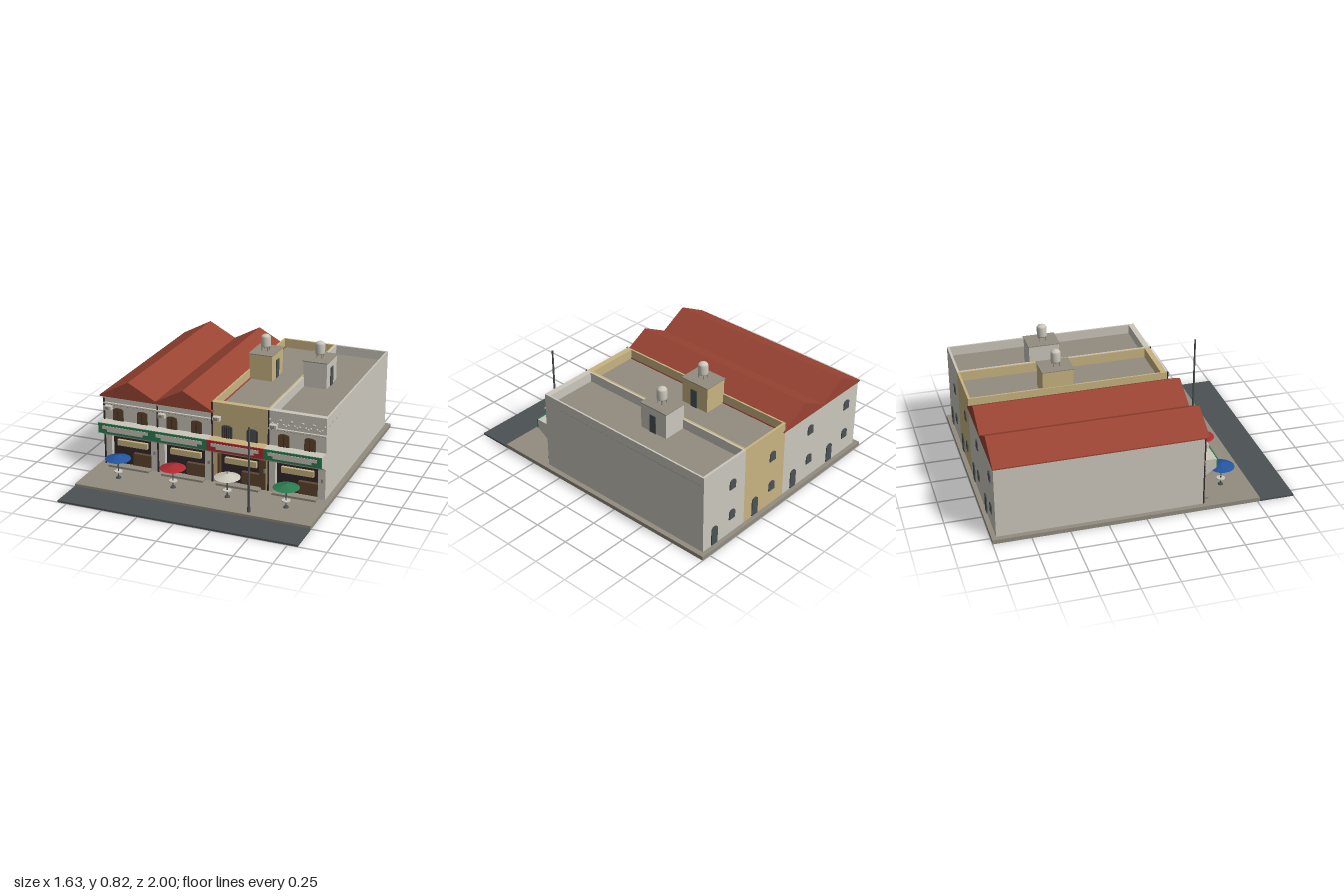
import * as THREE from 'three';

const mat = (name, color, opt = {}) => {
  const m = new THREE.MeshStandardMaterial({ color, ...opt });
  m.name = name;
  return m;
};
const M = {
  white: mat('plaster white', 0xcbc7bc),
  tan: mat('plaster tan', 0xc8b481),
  roof: mat('roof tile', 0x9a4433),
  green: mat('green paint', 0x2a7d50),
  red: mat('red paint', 0xb02a30),
  blue: mat('blue cloth', 0x2355a0),
  stone: mat('paving stone', 0x928c80),
  slate: mat('slate grey', 0x4c5254),
  brown: mat('brown wood', 0x5f452f),
  dark: mat('dark interior', 0x33292b),
};

function add(parent, name, geo, material, x = 0, y = 0, z = 0) {
  const mesh = new THREE.Mesh(geo, material);
  mesh.name = name;
  mesh.position.set(x, y, z);
  parent.add(mesh);
  return mesh;
}

// box given by its limits on each axis
function box(parent, name, material, x0, x1, y0, y1, z0, z1) {
  return add(parent, name, new THREE.BoxGeometry(x1 - x0, y1 - y0, z1 - z0), material,
    (x0 + x1) / 2, (y0 + y1) / 2, (z0 + z1) / 2);
}

const cyl = (parent, name, material, r0, r1, y0, y1, x, z, n = 16) =>
  add(parent, name, new THREE.CylinderGeometry(r1, r0, y1 - y0, n), material, x, (y0 + y1) / 2, z);

const extrude = (shape, depth) =>
  new THREE.ExtrudeGeometry(shape, { depth, bevelEnabled: false, curveSegments: 8 });

// upright plate with a curved top, standing at y
function archPlate(parent, name, material, x, y, z, w, h, rise) {
  const s = new THREE.Shape();
  s.moveTo(-w / 2, 0);
  s.lineTo(w / 2, 0);
  s.lineTo(w / 2, h - rise);
  s.absellipse(0, h - rise, w / 2, rise, 0, Math.PI, false);
  s.closePath();
  return add(parent, name, extrude(s, 0.008), material, x, y, z);
}

const FRONT = 0.385, BACK = -0.97, GROUND = 0.028, HALF = 0.195;

// front wall with the shop opening cut out
function frontWall(g, wall, top) {
  const s = new THREE.Shape();
  s.moveTo(-HALF, GROUND);
  s.lineTo(-0.145, GROUND);
  s.lineTo(-0.145, 0.235);
  s.lineTo(0.145, 0.235);
  s.lineTo(0.145, GROUND);
  s.lineTo(HALF, GROUND);
  s.lineTo(HALF, top);
  s.lineTo(-HALF, top);
  s.closePath();
  add(g, 'frontWall', extrude(s, FRONT - 0.345), wall, 0, 0, 0.345);
}

function shopFront(g, wall, paint) {
  box(g, 'shopInterior', M.dark, -0.145, 0.145, GROUND, 0.235, 0.34, 0.352);
  box(g, 'innerSign', M.tan, -0.11, 0.11, 0.165, 0.205, 0.352, 0.375);
  box(g, 'counter', M.brown, 0.01, 0.145, GROUND, 0.125, 0.352, 0.38);
  box(g, 'step', M.stone, -0.15, 0.15, GROUND, 0.042, FRONT, 0.44);
  box(g, 'meterBox', M.stone, 0.168, 0.184, 0.15, 0.176, FRONT, 0.398);
  // canopy with a sloping underside
  const s = new THREE.Shape();
  s.moveTo(FRONT, 0.235);
  s.lineTo(0.468, 0.287);
  s.lineTo(0.468, 0.352);
  s.lineTo(FRONT, 0.352);
  s.closePath();
  add(g, 'canopy', extrude(s, 2 * HALF), wall, HALF, 0, 0).rotation.y = -Math.PI / 2;
  box(g, 'signBoard', paint, -HALF, HALF, 0.285, 0.355, 0.468, 0.476);
  box(g, 'signPanelUpper', M.white, -0.165, 0.165, 0.317, 0.34, 0.476, 0.479);
  box(g, 'signPanelLower', M.white, -0.13, 0.13, 0.3, 0.317, 0.476, 0.479);
}

function upperFloor(g, spec) {
  for (const x of [-0.088, 0.088]) {
    archPlate(g, 'upperWindow', spec.glazed ? M.slate : M.brown, x, 0.345, FRONT, 0.075, 0.095, 0.015);
    const bars = spec.glazed ? (x < 0 ? [-0.03, -0.015, 0, 0.015, 0.03] : [-0.033, 0.033]) : [0];
    for (const b of bars)
      box(g, 'windowBar', M.dark, x + b - 0.002, x + b + 0.002, 0.35, 0.43, FRONT + 0.008, FRONT + 0.012);
  }
  // air conditioner
  const y = spec.acY;
  box(g, 'airConditioner', M.white, -0.178, -0.13, y, y + 0.028, FRONT, 0.418);
  box(g, 'airConditionerGrille', M.stone, -0.172, -0.145, y + 0.005, y + 0.023, 0.418, 0.421);
  if (!spec.glazed) {
    box(g, 'ledge', M.white, -HALF, HALF, 0.464, 0.474, FRONT, 0.4);
    box(g, 'ledgeShadowGap', M.brown, -HALF, HALF, 0.46, 0.464, FRONT, 0.393);
  }
  box(g, 'downpipe', M.dark, -0.195, -0.187, GROUND, spec.top, FRONT, 0.395);
}

function rearWall(g) {
  archPlate(g, 'rearDoor', M.slate, 0.09, 0.035, BACK - 0.006, 0.055, 0.135, 0.026);
  for (const y of [0.135, 0.365])
    archPlate(g, 'rearWindow', M.slate, -0.075, y, BACK - 0.006, 0.055, 0.07, 0.02);
}

function gableRoof(g) {
  const s = new THREE.Shape();
  s.moveTo(-0.212, 0.52);
  s.lineTo(0.212, 0.52);
  s.lineTo(0.212, 0.528);
  s.lineTo(0, 0.642);
  s.lineTo(-0.212, 0.528);
  s.closePath();
  add(g, 'gableRoof', extrude(s, 1.385), M.roof, 0, 0, -0.975);
  box(g, 'eavesTrim', M.white, -HALF, HALF, 0.507, 0.52, FRONT, 0.4);
}

// flat roof with parapet, stair hut and water tank
function flatRoof(g, wall, top, tankX) {
  box(g, 'roofDeck', M.stone, -HALF, HALF, 0.518, 0.522, BACK + 0.01, 0.35);
  box(g, 'rearParapet', wall, -HALF, HALF, 0.52, top, BACK, BACK + 0.016);
  for (const x of [-HALF, HALF - 0.012])
    box(g, 'sideParapet', wall, x, x + 0.012, 0.52, top, BACK + 0.016, 0.345);
  box(g, 'stairHut', wall, -0.19, -0.024, 0.52, 0.7, -0.47, -0.26);
  box(g, 'stairHutCap', M.stone, -HALF, -0.02, 0.7, 0.706, -0.475, -0.255);
  box(g, 'stairHutDoor', M.slate, -0.024, -0.018, 0.522, 0.65, -0.385, -0.335);
  const tank = new THREE.Group();
  tank.name = 'waterTank';
  tank.position.set(tankX, 0, -0.36);
  g.add(tank);
  for (const x of [-0.02, 0.02]) for (const z of [-0.02, 0.02])
    cyl(tank, 'tankLeg', M.stone, 0.003, 0.003, 0.705, 0.74, x, z, 6);
  const profile = [[0, 0.735], [0.032, 0.735], [0.034, 0.742], [0.034, 0.802], [0.028, 0.812], [0.014, 0.82], [0, 0.822]];
  add(tank, 'tankBody', new THREE.LatheGeometry(profile.map(p => new THREE.Vector2(...p)), 20), M.white);
}

// hanging swags of small beads on the front parapet
function swags(g) {
  for (let i = 0; i < 5; i++) for (let k = 0; k < 5; k++) {
    const t = k / 4 * 2 - 1;
    add(g, 'swagBead', new THREE.SphereGeometry(0.007, 8, 6), M.white,
      -0.15 + i * 0.075 + t * 0.034, 0.495 + 0.035 * t * t, FRONT + 0.003);
  }
}

function umbrellaTable(root, x, cloth) {
  const g = new THREE.Group();
  g.name = 'umbrellaTable';
  g.position.set(x, 0, 0.575);
  root.add(g);
  cyl(g, 'umbrellaCloth', cloth, 0.086, 0.003, 0.167, 0.195, 0, 0, 24);
  cyl(g, 'umbrellaPole', M.slate, 0.004, 0.004, GROUND, 0.2, 0, 0, 8);
  cyl(g, 'tableTop', M.white, 0.028, 0.028, 0.073, 0.079, 0, 0);
  cyl(g, 'tableBase', M.slate, 0.018, 0.014, GROUND, 0.038, 0, 0);
}

export function createModel() {
  const root = new THREE.Group();
  root.name = 'shopRow';
  box(root, 'pavement', M.stone, -0.815, 0.815, 0, GROUND, -1, 0.765);
  box(root, 'road', M.slate, -0.815, 0.815, 0, 0.012, 0.765, 1);

  const houses = [
    { wall: M.white, paint: M.green, cloth: M.blue, top: 0.52, acY: 0.427, gable: true },
    { wall: M.white, paint: M.green, cloth: M.red, top: 0.52, acY: 0.427, gable: true },
    { wall: M.tan, paint: M.red, cloth: M.white, top: 0.588, acY: 0.468, glazed: true, tankX: -0.108 },
    { wall: M.white, paint: M.green, cloth: M.green, top: 0.588, acY: 0.474, tankX: -0.108 },
  ];
  houses.forEach((h, i) => {
    const g = new THREE.Group();
    g.name = 'house' + (i + 1);
    g.position.x = -0.585 + i * 0.39;
    root.add(g);
    box(g, 'houseBody', h.wall, -HALF, HALF, GROUND, 0.52, BACK, 0.345);
    frontWall(g, h.wall, h.top);
    shopFront(g, h.wall, h.paint);
    upperFloor(g, h);
    rearWall(g);
    if (h.gable) gableRoof(g);
    else flatRoof(g, h.wall, h.top, h.tankX);
    // timber door jambs on the tan house, swags on the last one
    if (h.glazed) for (const x of [-0.155, 0.135])
      box(g, 'doorJamb', M.brown, x, x + (x > 0 ? 0.045 : 0.015), GROUND, 0.235, 0.36, 0.391);
    if (i === 3) swags(g);
    umbrellaTable(root, [-0.59, -0.195, 0.185, 0.585][i], h.cloth);
  });

  // street pole
  cyl(root, 'streetPole', M.slate, 0.008, 0.006, GROUND, 0.6, 0.39, 0.72, 10);
  cyl(root, 'streetPoleBase', M.slate, 0.012, 0.01, GROUND, 0.06, 0.39, 0.72, 10);
  return root;
}
